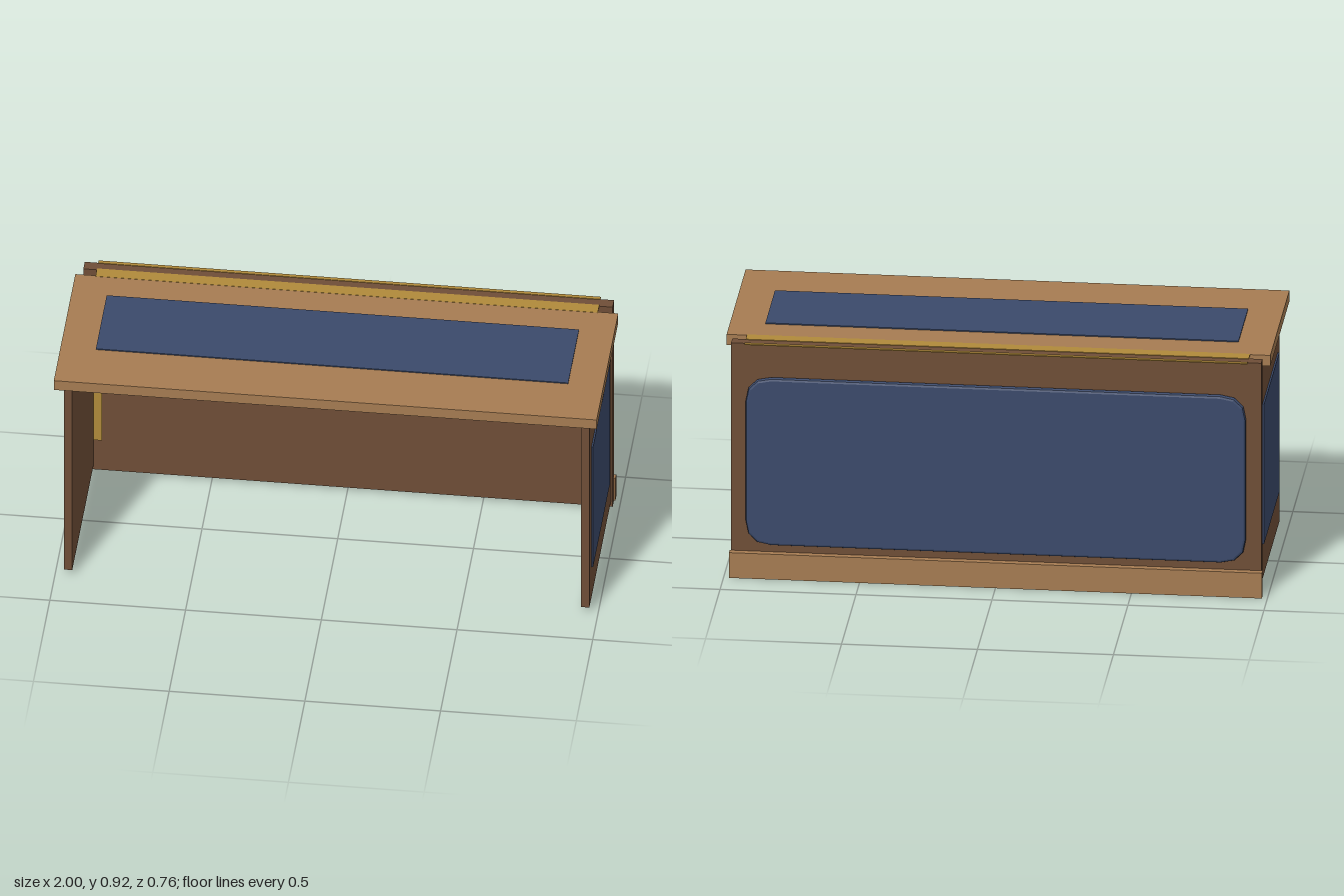
import * as THREE from 'three';

const mat = (name, color) => {
  const m = new THREE.MeshStandardMaterial({ color });
  m.name = name;
  return m;
};

export function createModel() {
  const desk = new THREE.Group();
  desk.name = 'desk';
  const brown = mat('dark wood', 0x6f4e37);
  const tan = mat('light wood', 0xa67c52);
  const navy = mat('navy inlay', 0x3b4a6b);
  const gold = mat('brass', 0xb08a3a);

  // Box given by its lower and upper limits on each axis
  const box = (name, material, [x0, x1], [y0, y1], [z0, z1]) => {
    const mesh = new THREE.Mesh(new THREE.BoxGeometry(x1 - x0, y1 - y0, z1 - z0), material);
    mesh.position.set((x0 + x1) / 2, (y0 + y1) / 2, (z0 + z1) / 2);
    mesh.name = name;
    desk.add(mesh);
  };

  // Desktop and its inlay
  box('desktop', tan, [-1, 1], [0.872, 0.914], [-0.275, 0.381]);
  box('desktopInlay', navy, [-0.87, 0.87], [0.912, 0.918], [-0.155, 0.174]);

  // Modesty panel and foot rail at the back
  box('backPanel', brown, [-0.975, 0.975], [0.002, 0.913], [-0.355, -0.312]);
  box('footRail', tan, [-0.98, 0.98], [0, 0.099], [-0.381, -0.355]);

  // Brass strips along the top of the back panel
  box('frontTopStrip', gold, [-0.925, 0.925], [0.911, 0.915], [-0.318, -0.27]);
  box('rearTopStrip', gold, [-0.925, 0.925], [0.911, 0.915], [-0.367, -0.352]);

  // Mirrored side panels, their inlays and the inner corner strips
  for (const s of [-1, 1]) {
    const span = (a, b) => (s > 0 ? [a, b] : [-b, -a]);
    const side = s > 0 ? 'left' : 'right';
    box(side + 'SidePanel', brown, span(0.937, 0.968), [0.024, 0.872], [-0.312, 0.339]);
    box(side + 'SideInlay', navy, span(0.966, 0.974), [0.162, 0.71], [-0.246, 0.275]);
    box(side + 'CornerStrip', gold, span(0.906, 0.937), [0.14, 0.78], [-0.313, -0.306]);
  }

  // Padded panel with clipped round corners and a soft bevel
  const bevel = 0.01, w = 0.92 - bevel, h = 0.328 - bevel, r = 0.085;
  const outline = new THREE.Shape();
  outline.moveTo(-w + r, -h);
  outline.lineTo(w - r, -h);
  outline.quadraticCurveTo(w, -h, w, -h + r);
  outline.lineTo(w, h - r);
  outline.quadraticCurveTo(w, h, w - r, h);
  outline.lineTo(-w + r, h);
  outline.quadraticCurveTo(-w, h, -w, h - r);
  outline.lineTo(-w, -h + r);
  outline.quadraticCurveTo(-w, -h, -w + r, -h);
  const pad = new THREE.Mesh(new THREE.ExtrudeGeometry(outline, {
    depth: 0.006, bevelThickness: bevel, bevelSize: bevel, bevelSegments: 2, curveSegments: 3,
  }), navy);
  pad.position.set(0, 0.458, -0.367);
  pad.name = 'backPad';
  desk.add(pad);

  return desk;
}
